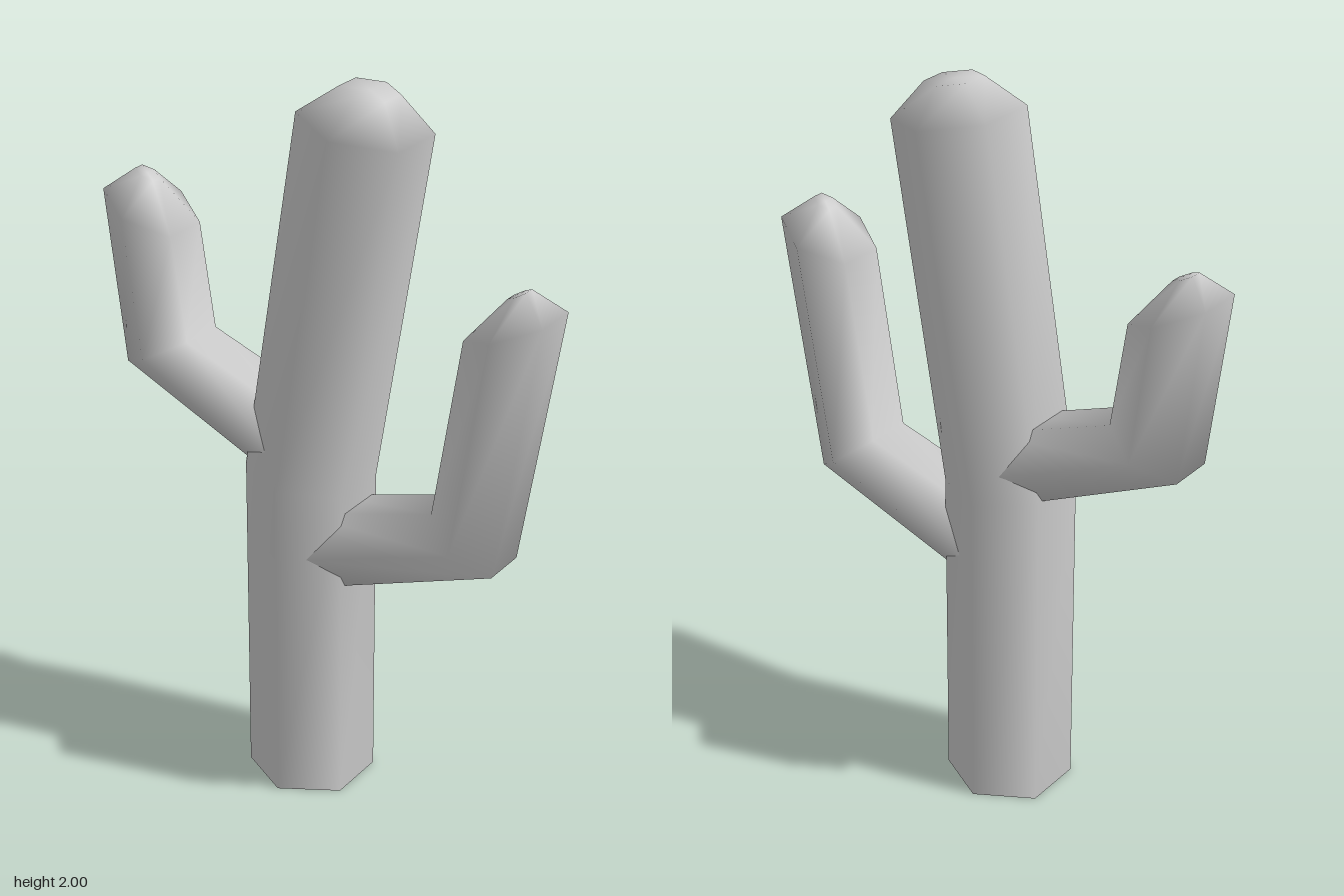
import * as THREE from 'three';

const material = new THREE.MeshStandardMaterial({ color: 0xcccccc, side: THREE.DoubleSide });

// Hexagon corners as multiples of the ring's in-plane half width and its half depth
const HEX = [[1, 0.5], [0, 1], [-1, 0.5], [-1, -0.5], [0, -1], [1, -0.5]];

// Smooth six-sided stem through rings [centreX, centreY, halfX, halfY, halfDepth], closed at the tip
function stem(name, rings) {
  const positions = [], index = [], n = HEX.length;
  for (const [cx, cy, ux, uy, depth] of rings) {
    for (const [k, d] of HEX) positions.push(cx + ux * k, cy + uy * k, depth * d);
  }
  for (let i = 0; i < rings.length - 1; i++) {
    for (let j = 0; j < n; j++) {
      const a = i * n + j, b = i * n + (j + 1) % n;
      index.push(a, a + n, b, b, a + n, b + n);
    }
  }
  // Tip fan
  const last = (rings.length - 1) * n, tip = rings.length * n;
  const [tx, ty] = rings[rings.length - 1];
  positions.push(tx, ty, 0);
  for (let j = 0; j < n; j++) index.push(tip, last + (j + 1) % n, last + j);

  const geometry = new THREE.BufferGeometry();
  geometry.setAttribute('position', new THREE.Float32BufferAttribute(positions, 3));
  geometry.setIndex(index);
  geometry.computeVertexNormals();
  const mesh = new THREE.Mesh(geometry, material);
  mesh.name = name;
  return mesh;
}

export function createModel() {
  const group = new THREE.Group();
  group.name = 'cactus';

  // Trunk: upright to the bend, then leaning, open underneath
  group.add(stem('trunk', [
    [-0.05, 0, 0.15, 0, 0.17],
    [-0.05, 0.92, 0.15, -0.012, 0.17],
    [0.112, 1.905, 0.148, -0.025, 0.17],
    [0.125, 1.99, 0.065, -0.01, 0.075],
  ]));

  // Lower arm on the model's left
  group.add(stem('leftArm', [
    [0, 0.717, 0.035, -0.1, 0.13],
    [0.45, 0.865, 0.09, -0.065, 0.13],
    [0.547, 1.47, 0.108, 0.04, 0.13],
    [0.555, 1.557, 0.025, 0.013, 0.03],
  ]));

  // Higher arm on the model's right
  group.add(stem('rightArm', [
    [-0.05, 0.98, 0.04, 0.095, 0.13],
    [-0.5, 1.17, 0.1, 0.05, 0.13],
    [-0.552, 1.555, 0.108, -0.045, 0.13],
    [-0.562, 1.643, 0.028, -0.013, 0.03],
  ]));

  return group;
}
